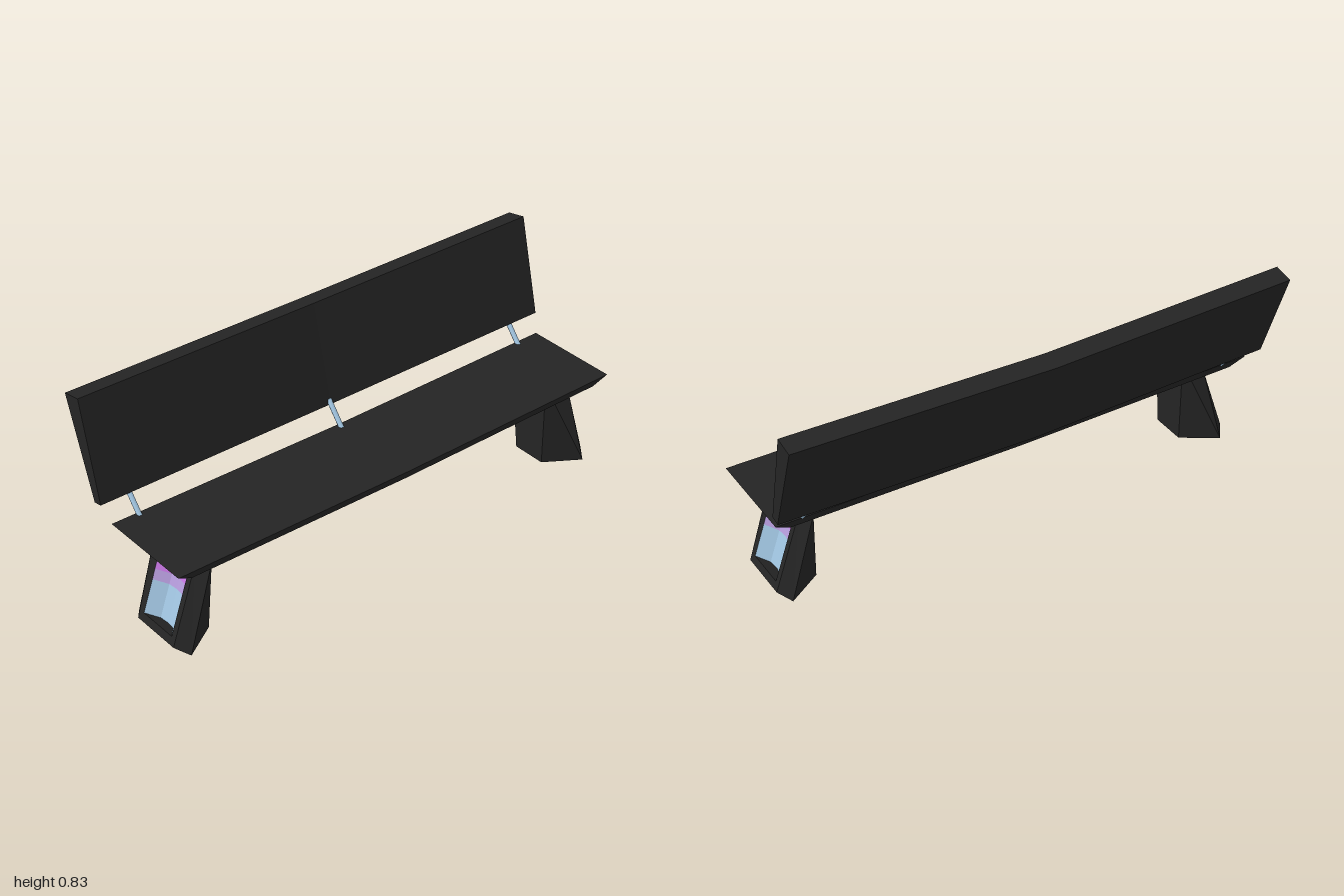
import * as THREE from 'three';

const black = new THREE.MeshStandardMaterial({ name: 'charcoal', color: 0x242424 });
const blue = new THREE.MeshStandardMaterial({ name: 'pale blue', color: 0xa0c4e0 });
const lilac = new THREE.MeshStandardMaterial({ name: 'lilac', color: 0xb49ada });
const purple = new THREE.MeshStandardMaterial({ name: 'purple', color: 0xc676e2 });

// Flat-shaded skin over rows of points; closed rows become rings with optional caps
function skin(name, material, rows, { closed = false, startCap = false, endCap = false } = {}) {
  const pos = [];
  const quad = (a, b, c, d) => pos.push(...a, ...b, ...c, ...a, ...c, ...d);
  for (let r = 0; r < rows.length - 1; r++) {
    const n = rows[r].length;
    for (let i = 0; i < (closed ? n : n - 1); i++) {
      const j = (i + 1) % n;
      quad(rows[r][i], rows[r][j], rows[r + 1][j], rows[r + 1][i]);
    }
  }
  if (startCap) quad(...[...rows[0]].reverse());
  if (endCap) quad(...rows[rows.length - 1]);
  const geo = new THREE.BufferGeometry();
  geo.setAttribute('position', new THREE.Float32BufferAttribute(pos, 3));
  geo.computeVertexNormals();
  const mesh = new THREE.Mesh(geo, material);
  mesh.name = name;
  return mesh;
}

const solid = { closed: true, startCap: true, endCap: true };

// Upright rectangle ring whose bottom and top edges sit at different depths
const ring = (hw, y0, z0, y1, z1) => [[-hw, y0, z0], [hw, y0, z0], [hw, y1, z1], [-hw, y1, z1]];

// Sloping outer face of a leg
const slope = 0.344;
const faceZ = (y) => 0.957 - slope * (y - 0.02);
const len = Math.hypot(1, slope);
const onFace = (x, y, depth) => [x, y - depth * slope / len, faceZ(y) - depth / len];

function createLeg() {
  const leg = new THREE.Group();
  // Wedge body with chamfered outer face and a window opening
  leg.add(skin('legBody', black, [
    ring(0.07, 0, 0.785, 0.345, 0.785),
    ring(0.156, 0, 0.92, 0.345, 0.82),
    ring(0.105, 0.02, faceZ(0.02), 0.325, faceZ(0.325)),
    ring(0.082, 0.05, faceZ(0.05), 0.29, faceZ(0.29)),
  ], { closed: true, startCap: true }));

  // Hollow, curved light panel in three colour bands
  const arc = [[-0.082, 0], [-0.037, 0.04], [0, 0.045], [0.037, 0.04], [0.082, 0]];
  const row = (y) => arc.map(([x, d]) => onFace(x, y, d));
  const rim = (y) => arc.map(([x]) => onFace(x, y, 0));
  leg.add(
    skin('panelLower', blue, [row(0.05), row(0.175)]),
    skin('panelMiddle', lilac, [row(0.175), row(0.213)]),
    skin('panelUpper', purple, [row(0.213), row(0.29)]),
    skin('recessTop', black, [row(0.29), rim(0.29)]),
    skin('recessBottom', black, [rim(0.05), row(0.05)]),
  );
  return leg;
}

export function createModel() {
  const bench = new THREE.Group();
  bench.name = 'bench';

  // Seat slab: undercut edges, slight sag in the middle
  const seatRow = (s) => {
    const sag = s === 0 ? 0.01 : 0;
    return [
      [-0.075, 0.346 - sag, s * 0.92], [0.288, 0.346 - sag, s * 0.92],
      [0.3, 0.38 - sag, s * 0.98], [-0.087, 0.38 - sag, s * 0.98],
    ];
  };
  bench.add(skin('seat', black, [-1, 0, 1].map(seatRow), solid));

  // Backrest: leaning, thicker at the top, bent backwards at the middle
  const backRow = (s) => {
    const k = s === 0 ? 0.015 : 0;
    return [[-0.152, 0.442], [-0.115, 0.45], [-0.207, 0.83], [-0.285, 0.815]]
      .map(([x, y]) => [x - k, y - k, s]);
  };
  bench.add(skin('backrest', black, [-1, 0, 1].map(backRow), solid));

  // Rods joining seat and backrest
  const low = new THREE.Vector3(-0.066, 0.365, 0);
  const high = new THREE.Vector3(-0.14, 0.452, 0);
  const dir = high.clone().sub(low);
  for (const z of [-0.875, 0, 0.875]) {
    const rod = new THREE.Mesh(new THREE.CylinderGeometry(0.01, 0.01, dir.length(), 8), blue);
    rod.name = 'backrestRod';
    rod.position.copy(low).add(high).multiplyScalar(0.5).setZ(z);
    rod.quaternion.setFromUnitVectors(new THREE.Vector3(0, 1, 0), dir.clone().normalize());
    bench.add(rod);
  }

  // A leg at each end, panels facing outwards
  for (const [name, turn] of [['frontLeg', 0], ['backLeg', Math.PI]]) {
    const leg = createLeg();
    leg.name = name;
    leg.position.x = 0.106;
    leg.rotation.y = turn;
    bench.add(leg);
  }
  return bench;
}
